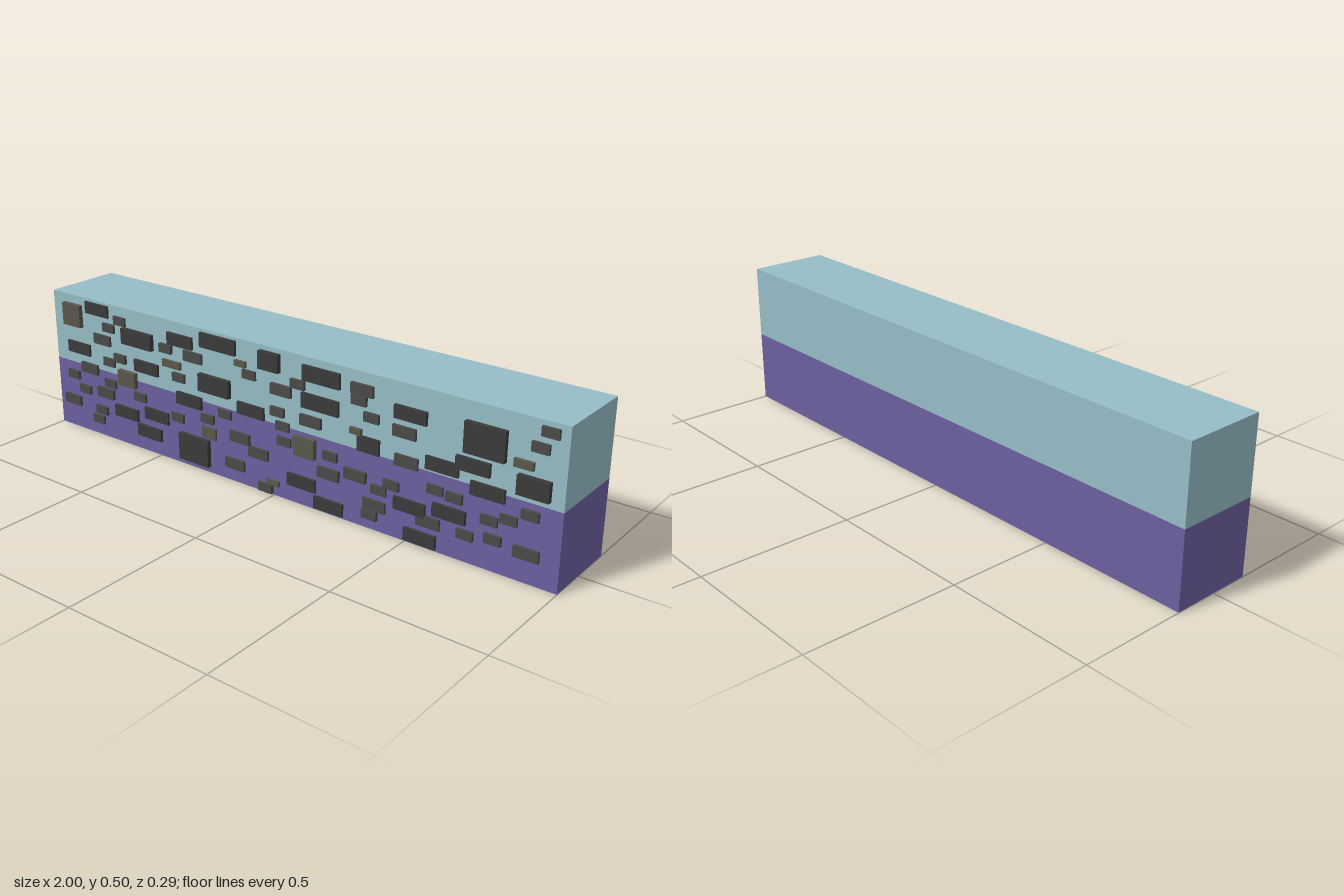
import * as THREE from 'three';

const mat = (color) => new THREE.MeshStandardMaterial({ color });
const TEAL = mat(0x97bdc7), PURPLE = mat(0x6d609f);
const DARK = mat(0x3b3b3b), GREY = mat(0x4a4a48), BROWN = mat(0x5a584c);

const FACE = 0.13, BACK = -0.147; // wall face and back in z

function block(name, material, w, h, d, x, y, z) {
  const mesh = new THREE.Mesh(new THREE.BoxGeometry(w, h, d), material);
  mesh.name = name;
  mesh.position.set(x, y, z);
  return mesh;
}

// Stone layouts in hundredths of a unit.
// One-off stones: [x, y, width, height]
const BROWN_STONES = [
  [-90, 43, 8.5, 8], [-64, 25, 8, 5.5], [13, 20.5, 8, 6.5], [-27, 14.5, 6, 4], [-13, 42, 4.5, 2],
  [87.5, 36, 6, 2.5], [0, 4.5, 5, 2], [-43, 35, 8, 2.5], [32, 31, 4, 2],
];
const LARGE_STONES = [
  [-33.5, 7, 13, 9.5], [75.5, 39.5, 13, 9.5], [-24, 32, 13, 6], [-58.5, 40.5, 14, 5.5], [-22.5, 46.5, 15, 5],
  [19, 45, 14, 5], [18.5, 36, 14, 5], [-1, 45.5, 8, 6], [91, 30, 10, 6], [36.5, 27.5, 8, 5],
];
// Stones sharing one size: [x, y]
const WIDE = [
  [-78, 47], [-55, 31], [51, 41], [62, 28], [77, 24.5], [72, 31], [-88, 31], [-39, 44], [-35.5, 24],
  [-51, 14.5], [-65.5, 12], [-54.5, 7.5], [-9, 27], [11.5, 8], [65, 14], [51.5, 12], [22, 3], [55.5, 3],
];
const MEDIUM = [
  [-76, 36.5], [-93, 10.5], [-75.5, 17], [-6, 13], [-16, 6.5], [22, 14], [49, 35], [50, 26], [3.5, 37],
  [-33.5, 39.5], [34, 44.5], [-13.5, 16.5], [39, 8.5], [90, 9.5], [32, 16.5], [58, 9], [15, 29.5], [-83, 24.5],
];
const SMALL = [
  [-67, 45], [-72.5, 41.5], [-45.5, 40], [-9.5, 39], [10, 40.5], [33, 41], [94.5, 47], [92, 42], [-67.5, 31.5],
  [-73, 29], [-40, 31], [2, 29.5], [4, 25], [37.5, 36.5], [-91.5, 20.5], [-73, 21], [-58.5, 19.5], [-27.5, 19.5],
  [-20, 23], [-86, 16], [-78, 10], [-80, 6], [-41, 16.5], [-3, 2], [4.5, 20], [22.5, 20], [37.5, 5],
  [40.5, 14], [45, 17], [66.5, 19.5], [60, 20], [70.5, 9], [79.5, 10.5], [84, 18], [78, 16], [90.5, 21.5],
];

export function createModel() {
  const model = new THREE.Group();
  model.name = 'stoneWall';

  // Wall: two colour bands on a thin base sheet
  const depth = FACE - BACK, mid = (FACE + BACK) / 2, base = 0.001;
  model.add(
    block('upperBand', TEAL, 2, 0.25, depth, 0, 0.375, mid),
    block('lowerBand', PURPLE, 2, 0.25 - base, depth, 0, (0.25 + base) / 2, mid),
    block('baseSheet', TEAL, 2, base, depth, 0, base / 2, mid),
  );

  // Shallow stones standing out of the front face
  const stones = new THREE.Group();
  stones.name = 'stones';
  model.add(stones);
  const addStones = (list, material, w, h) => list.forEach(([x, y, ownW, ownH], i) => {
    const sw = (ownW ?? w) / 100, sh = (ownH ?? h) / 100;
    const relief = sh > 0.053 ? 0.016 : 0.008 + (i % 3) * 0.0015;
    stones.add(block('stone', material, sw, sh, relief + 0.004, x / 100, y / 100, FACE + (relief - 0.004) / 2));
  });
  addStones(BROWN_STONES, BROWN);
  addStones(LARGE_STONES, DARK);
  addStones(WIDE, DARK, 11, 4.2);
  addStones(MEDIUM, GREY, 8, 3.6);
  addStones(SMALL, GREY, 5.4, 3);

  return model;
}
